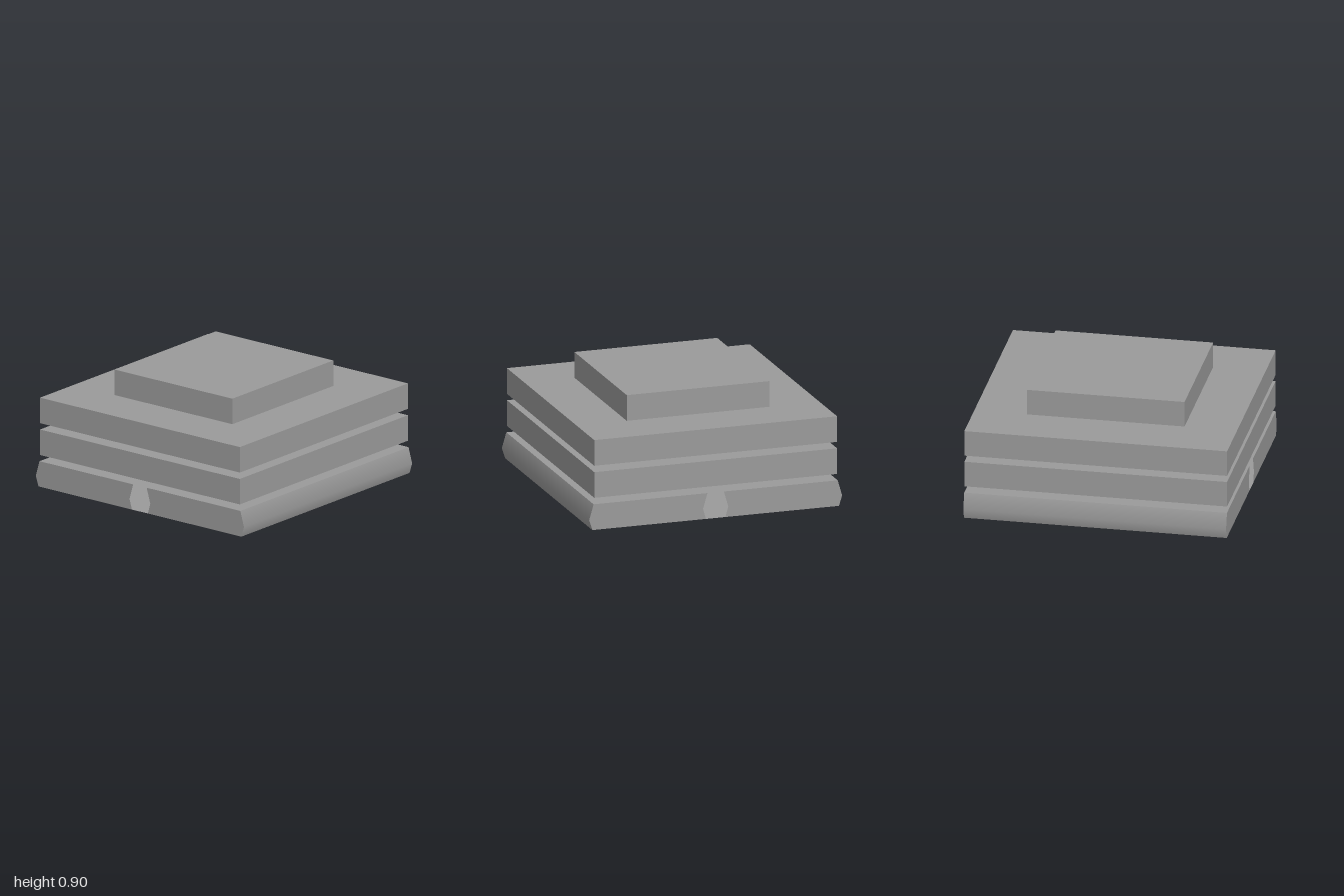
import * as THREE from 'three';

const material = new THREE.MeshStandardMaterial({ color: 0x9a9a9a });
const thinMaterial = new THREE.MeshStandardMaterial({ color: 0x9a9a9a, side: THREE.DoubleSide });

// Bent outer wall of the base, smooth across the bend: rows of x, y and normal
function createSideWall() {
  const rows = [
    [0.965, 0.2, 0.96, 0.28],
    [1, 0.08, 1, 0],
    [0.975, 0, 0.954, -0.298],
  ];
  const positions = [], normals = [], indices = [];
  rows.forEach(([x, y, nx, ny], i) => {
    for (const z of [1, -1]) {
      positions.push(x, y, z);
      normals.push(nx, ny, 0);
    }
    const a = 2 * i;
    if (i < rows.length - 1) indices.push(a, a + 2, a + 1, a + 1, a + 2, a + 3);
  });
  const wall = new THREE.BufferGeometry();
  wall.setAttribute('position', new THREE.Float32BufferAttribute(positions, 3));
  wall.setAttribute('normal', new THREE.Float32BufferAttribute(normals, 3));
  wall.setIndex(indices);
  return wall;
}

// End of the base: two mirrored outlines with the channel opening between them
function createEndWall() {
  const outline = [[0.077, 0], [0.975, 0], [1, 0.08], [0.965, 0.2], [0.065, 0.2], [0.1, 0.08]];
  const shapes = [1, -1].map((side) =>
    new THREE.Shape(outline.map(([x, y]) => new THREE.Vector2(side * x, y))));
  return new THREE.ShapeGeometry(shapes).translate(0, 0, 1);
}

export function createModel() {
  const model = new THREE.Group();

  function add(name, geometry, mat) {
    const mesh = new THREE.Mesh(geometry, mat);
    mesh.name = name;
    model.add(mesh);
    return mesh;
  }

  // Stacked rectangular tiers: name, width, depth, bottom, top
  const tiers = [
    ['lowerNeck', 1.525, 1.6, 0.2, 0.25],
    ['lowerSlab', 1.92, 2, 0.25, 0.45],
    ['upperNeck', 1.525, 1.6, 0.45, 0.5],
    ['upperSlab', 1.92, 2, 0.5, 0.7],
    ['topBlock', 1.13, 1.2, 0.7, 0.9],
  ];
  for (const [name, width, depth, bottom, top] of tiers) {
    const box = new THREE.BoxGeometry(width, top - bottom, depth);
    add(name, box, material).position.y = (bottom + top) / 2;
  }

  // Hollow base: each wall is repeated half a turn around
  const sideWall = createSideWall();
  const endWall = createEndWall();
  add('leftBaseSide', sideWall, thinMaterial);
  add('rightBaseSide', sideWall, thinMaterial).rotation.y = Math.PI;
  add('frontBaseEnd', endWall, thinMaterial);
  add('backBaseEnd', endWall, thinMaterial).rotation.y = Math.PI;

  // Thin sheets closing the base below and above
  for (const [name, width, y] of [['baseFloor', 1.95, 0], ['baseCeiling', 1.93, 0.2]]) {
    const sheet = new THREE.PlaneGeometry(width, 2).rotateX(-Math.PI / 2);
    add(name, sheet, thinMaterial).position.y = y;
  }

  return model;
}
